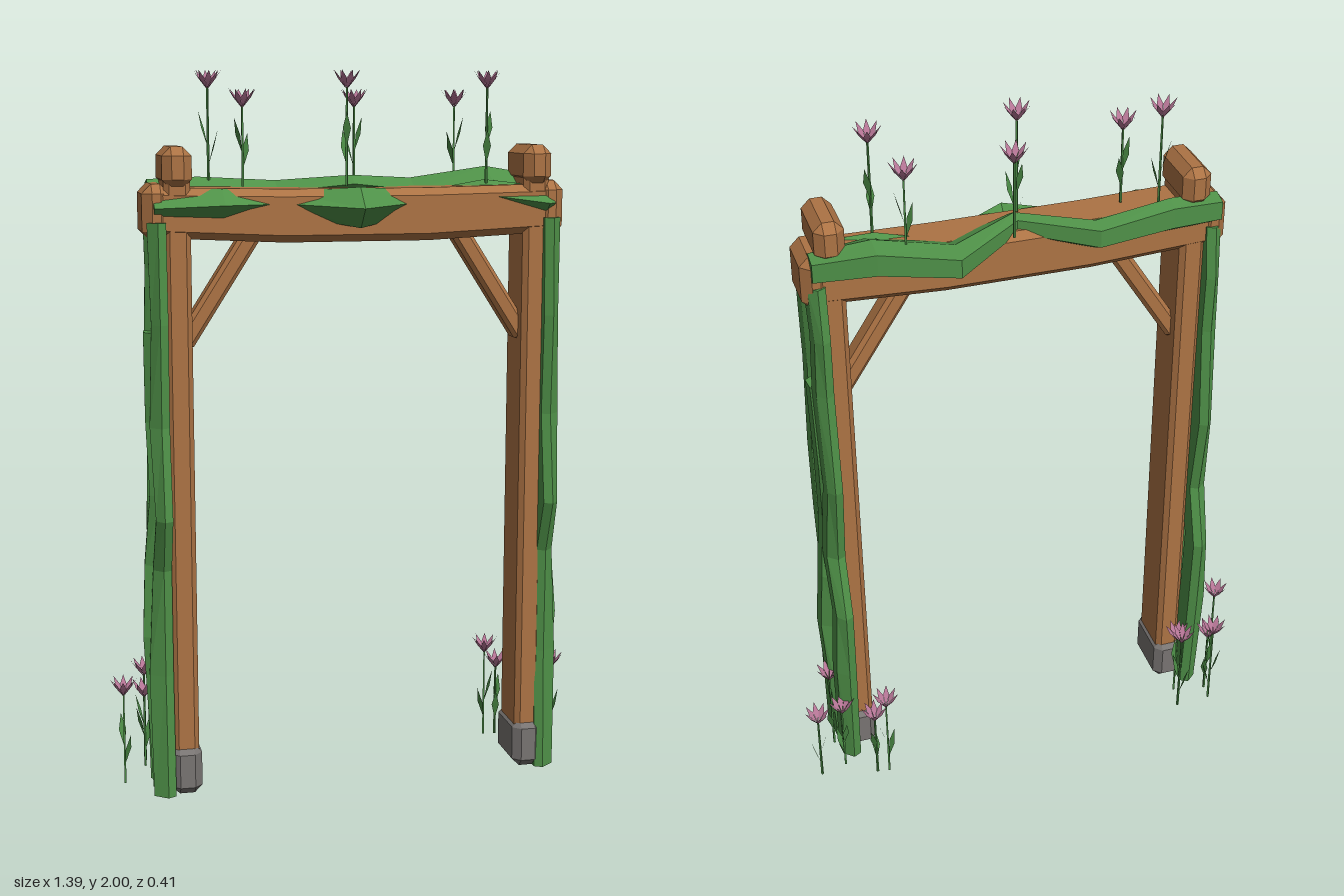
import * as THREE from 'three';
import { ConvexGeometry } from 'three/addons/geometries/ConvexGeometry.js';

const mat = (name, color, extra = {}) => {
  const m = new THREE.MeshStandardMaterial({ color, flatShading: true, ...extra });
  m.name = name;
  return m;
};

// Box with chamfered edges and corners
function chamferBox(w, h, d, c) {
  const pts = [];
  for (const x of [-1, 1]) for (const y of [-1, 1]) for (const z of [-1, 1]) {
    const a = [x * w / 2, y * h / 2, z * d / 2], s = [x, y, z];
    for (let k = 0; k < 3; k++) {
      pts.push(new THREE.Vector3(...a.map((v, i) => (i === k ? v : v - s[i] * c))));
    }
  }
  return new ConvexGeometry(pts);
}

// Skin a row of equal-sided rings, cap the ends and face everything outward
function loft(rings) {
  const tris = [], n = rings[0].length;
  for (let i = 0; i < rings.length - 1; i++) {
    for (let j = 0; j < n; j++) {
      const k = (j + 1) % n, p = rings[i], q = rings[i + 1];
      tris.push([p[j], p[k], q[k]], [p[j], q[k], q[j]]);
    }
  }
  const last = rings[rings.length - 1];
  for (let j = 1; j < n - 1; j++) {
    tris.push([rings[0][0], rings[0][j + 1], rings[0][j]], [last[0], last[j], last[j + 1]]);
  }
  let volume = 0;
  for (const t of tris) {
    const [a, b, c] = t.map(p => new THREE.Vector3(...p));
    volume += a.dot(b.cross(c));
  }
  if (volume < 0) tris.forEach(t => t.reverse());
  return fromTriangles(tris);
}

function fromTriangles(tris) {
  const g = new THREE.BufferGeometry();
  g.setAttribute('position', new THREE.Float32BufferAttribute(tris.flat(2), 3));
  g.computeVertexNormals();
  return g;
}

export function createModel() {
  const root = new THREE.Group();
  root.name = 'gardenArch';
  const wood = mat('wood', 0xac7344);
  const stone = mat('stone', 0x787472);
  const vine = mat('vineGreen', 0x4f9148);
  const leafMat = mat('leafGreen', 0x4a8a44, { side: THREE.DoubleSide });
  const petalMat = mat('petalMauve', 0xb57595, { side: THREE.DoubleSide });

  const add = (name, geo, material, x = 0, y = 0, z = 0, parent = root) => {
    const m = new THREE.Mesh(geo, material);
    m.name = name;
    m.position.set(x, y, z);
    parent.add(m);
    return m;
  };

  const ZC = 0.047; // depth centre of the timber frame
  const XC = 0.007; // sideways centre of the two posts

  // Crossbeam: octagonal section with a slight sag
  add('crossbeam', loft([[-0.54, 0], [-0.2, -0.012], [0.2, -0.012], [0.54, 0]].map(([x, dy]) => {
    const h = 0.067 - dy * 0.4, d = 0.077, c = 0.02, y = 1.625 + dy;
    return [[h, d - c], [h - c, d], [c - h, d], [-h, d - c], [-h, c - d], [c - h, -d], [h - c, -d], [h, c - d]]
      .map(([a, b]) => [x, y + a, ZC + b]);
  })), wood);

  // Climbing strands on the outside of each post: [height, depth, outer x]
  const strands = [
    [[0, 0.1, 0.585], [0.35, 0.085, 0.59], [0.65, 0.088, 0.575], [0.8, 0.142, 0.57],
      [1.05, 0.104, 0.578], [1.33, 0.115, 0.57], [1.6, 0.103, 0.575]],
    [[0, 0.03, 0.58], [0.45, 0.052, 0.602], [0.65, 0.03, 0.592], [0.85, 0.04, 0.575], [1.05, 0.01, 0.58], [1.3, 0.03, 0.583]],
    [[0, -0.035, 0.58], [0.35, -0.055, 0.585], [0.57, -0.064, 0.575], [0.75, -0.008, 0.58],
      [1.0, -0.042, 0.57], [1.3, -0.015, 0.575], [1.47, -0.02, 0.57], [1.62, 0.0, 0.575]],
  ];

  for (const s of [-1, 1]) {
    const side = s > 0 ? 'left' : 'right';
    const px = XC + s * 0.499;
    add(side + 'Post', chamferBox(0.072, 1.66, 0.152, 0.014), wood, px, 0.9, ZC);
    add(side + 'PostCap', chamferBox(0.08, 0.11, 0.188, 0.024), wood, px, 1.744, ZC);
    add(side + 'BeamEnd', chamferBox(0.075, 0.152, 0.165, 0.026), wood, s * 0.548, 1.626, ZC);
    add(side + 'Foot', chamferBox(0.086, 0.14, 0.18, 0.022), stone, px, 0.07, ZC);

    // Diagonal brace under the beam
    const from = [0.482, 1.265], to = [0.283, 1.575];
    const dx = to[0] - from[0], dy = to[1] - from[1];
    const brace = add(side + 'Brace', chamferBox(0.052, Math.hypot(dx, dy), 0.066, 0.011), wood,
      XC + s * (from[0] + to[0]) / 2, (from[1] + to[1]) / 2, ZC);
    brace.rotation.z = -s * Math.atan2(dx, dy);

    // Each strand has a broad, slightly slanted outer face
    strands.forEach((strand, i) => {
      add(side + 'PostVine' + (i + 1), loft(strand.map(([y, z, xo]) => [
        [s * 0.525, y, z - 0.034], [s * 0.548, y, z - 0.046], [s * (xo - 0.004), y, z - 0.022],
        [s * xo, y, z + 0.018], [s * 0.548, y, z + 0.046], [s * 0.525, y, z + 0.034],
      ])), vine);
    });
  }

  // Strands weaving along the beam: path [x, y, z, half height, half depth], section [up, forward]
  const beamVine = (name, section, path) => add(name, loft(path.map(([x, y, z, h, d]) =>
    section.map(([u, f]) => [x, y + u * h, z + f * d]))), vine);
  beamVine('beamVineBack', [[1, -0.1], [0.75, -1], [-0.4, -1], [-1, 0], [0.3, 1]], [
    [-0.56, 1.665, 0.0, 0.045, 0.05], [-0.42, 1.665, -0.01, 0.05, 0.045], [-0.2, 1.66, -0.042, 0.042, 0.05],
    [0, 1.685, 0.035, 0.033, 0.036], [0.19, 1.66, -0.06, 0.045, 0.072],
    [0.4, 1.685, -0.025, 0.052, 0.07], [0.56, 1.665, 0.0, 0.045, 0.05]]);
  beamVine('beamVineFront', [[1, -0.1], [0, 1], [-1, 0], [0, -1]], [
    [-0.556, 1.638, 0.095, 0.045, 0.052], [-0.37, 1.645, 0.115, 0.042, 0.05],
    [-0.2, 1.645, 0.065, 0.03, 0.045], [0, 1.635, 0.15, 0.055, 0.055],
    [0.19, 1.645, 0.05, 0.03, 0.04], [0.28, 1.652, 0.05, 0.035, 0.04], [0.37, 1.662, 0.068, 0.042, 0.052],
    [0.535, 1.64, 0.098, 0.045, 0.052], [0.556, 1.64, 0.085, 0.04, 0.05]]);

  // Pointed blade leaning outward from the stem
  const blade = (r0, y0, r1, y1, r2, y2, w) => {
    const base = [r0, y0, 0], tip = [r2, y2, 0], l = [r1, y1, w], r = [r1, y1, -w];
    return fromTriangles([[base, l, r], [l, tip, r]]);
  };
  const petalGeo = blade(0.002, 0, 0.022, 0.027, 0.038, 0.05, 0.009);
  const leafGeo = blade(0.001, 0, 0.015, 0.05, 0.027, 0.095, 0.011);

  // Flower: stem, two leaves and a cup of petals
  const flower = (x, y, z, h, turn) => {
    const f = new THREE.Group();
    f.name = 'flower';
    f.position.set(x, y, z);
    f.rotation.y = turn;
    add('stem', new THREE.CylinderGeometry(0.003, 0.004, h - 0.045, 4), leafMat, 0, (h - 0.045) / 2, 0, f);
    for (let i = 0; i < 2; i++) {
      add('leaf', leafGeo, leafMat, 0, h * (0.18 + 0.16 * i), 0, f).rotation.y = i * 2.7;
    }
    for (let i = 0; i < 8; i++) {
      add('petal', petalGeo, petalMat, 0, h - 0.05, 0, f).rotation.y = i * Math.PI / 4;
    }
    root.add(f);
  };
  const spots = [ // x, base y, z, height
    [-0.39, 1.69, -0.01, 0.31], [-0.305, 1.69, 0.05, 0.26], [-0.025, 1.69, 0.085, 0.31],
    [0.025, 1.69, -0.05, 0.26], [0.315, 1.69, -0.055, 0.26], [0.372, 1.69, 0.075, 0.31],
    [-0.655, 0, 0, 0.31], [-0.58, 0, -0.165, 0.31], [-0.585, 0, -0.12, 0.26],
    [-0.49, 0, -0.1, 0.26], [-0.475, 0, -0.17, 0.31], [0.46, 0, -0.165, 0.31],
    [0.495, 0, -0.16, 0.26], [0.58, 0, -0.1, 0.26], [0.657, 0, -0.12, 0.26], [0.592, 0, 0, 0.31],
  ];
  spots.forEach(([x, y, z, h], i) => flower(x, y, z, h, i * 0.9));

  return root;
}
